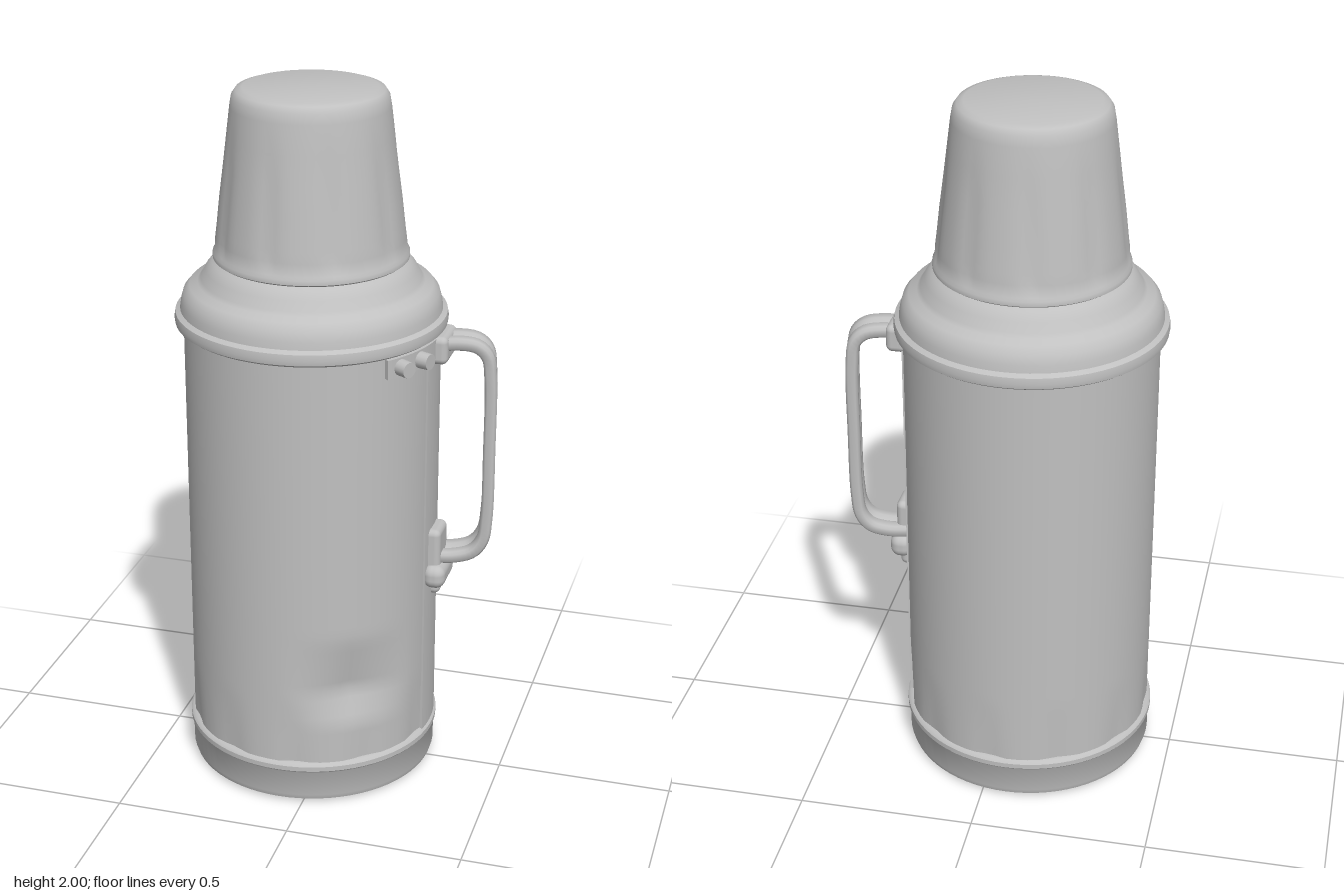
import * as THREE from 'three';
import { toCreasedNormals } from 'three/addons/utils/BufferGeometryUtils.js';
import { RoundedBoxGeometry } from 'three/addons/geometries/RoundedBoxGeometry.js';

const grey = new THREE.MeshStandardMaterial({ color: 0xc0c0c0 });
grey.name = 'plain grey';

function part(name, geometry, parent, x = 0, y = 0, z = 0) {
  const mesh = new THREE.Mesh(geometry, grey);
  mesh.name = name;
  mesh.position.set(x, y, z);
  parent.add(mesh);
  return mesh;
}

// Turned part; its seam lies on the handle side. An optional rule scales the radius.
function turned(profile, rule) {
  const g = new THREE.LatheGeometry(profile.map(([r, y]) => new THREE.Vector2(r, y)), 72, Math.PI / 2);
  if (rule) {
    const p = g.attributes.position;
    for (let i = 0; i < p.count; i++) {
      const x = p.getX(i), y = p.getY(i), z = p.getZ(i);
      const s = rule(Math.atan2(x, z), y);
      p.setXYZ(i, x * s, y, z * s);
    }
  }
  return toCreasedNormals(g, 0.7);
}

// Curved plate wrapped round the bottle; angles run from +x towards the back
function wrap(inner, outer, from, to, height) {
  const s = new THREE.Shape();
  s.absarc(0, 0, outer, from, to, false);
  s.absarc(0, 0, inner, to, from, true);
  const g = new THREE.ExtrudeGeometry(s, { depth: height, bevelEnabled: false, curveSegments: 16 });
  g.rotateX(-Math.PI / 2);
  return toCreasedNormals(g, 0.7);
}

export function createModel() {
  const model = new THREE.Group();
  model.name = 'vacuumFlask';
  const bottle = new THREE.Group();
  bottle.name = 'bottle';
  bottle.position.x = -0.07;
  model.add(bottle);

  // Base cup with a small lip
  part('base', turned([[0, 0.005], [0.335, 0.005], [0.352, 0.015], [0.357, 0.03], [0.358, 0.105],
    [0.364, 0.112], [0.364, 0.126], [0.357, 0.134], [0.345, 0.136]]), bottle);

  // Body with a dent at the lower front and slight ripples above the base
  const rows = [];
  for (let i = 0; i <= 48; i++) rows.push([0.353, 0.12 + i * 1.24 / 48]);
  part('body', turned(rows, (a, y) => {
    const across = Math.max(0, 1 - Math.abs(a - 0.62) / 0.5);
    const up = y > 0.35 ? Math.max(0, 1 - (y - 0.35) / 0.17) : Math.max(0, 1 - (0.35 - y) / 0.1);
    const ripple = Math.max(0, 1 - (y - 0.12) / 0.2) * Math.max(0, Math.sin(a * 11));
    return 1 - 0.1 * across * up - 0.02 * ripple;
  }), bottle);
  part('seamStrip', wrap(0.34, 0.358, -0.2, 0.21, 1.2), bottle, 0, 0.13, 0);

  // Stepped shoulder with a rolled rim
  part('shoulder', turned([[0.345, 1.345], [0.366, 1.345], [0.376, 1.352], [0.378, 1.365], [0.375, 1.382],
    [0.362, 1.39], [0.359, 1.41], [0.352, 1.435], [0.335, 1.455], [0.312, 1.465], [0.303, 1.475],
    [0.29, 1.5], [0.272, 1.522], [0.25, 1.535]]), bottle);

  // Drinking cup with shallow grooves
  part('drinkingCup', turned([[0.2, 1.53], [0.262, 1.53], [0.269, 1.535], [0.269, 1.548], [0.263, 1.556], [0.261, 1.59],
    [0.257, 1.62], [0.248, 1.7], [0.236, 1.79], [0.226, 1.87], [0.216, 1.95], [0.211, 1.978], [0.2, 1.994],
    [0.182, 2], [0, 2]], (a, y) => {
    const fade = THREE.MathUtils.smoothstep(y, 1.55, 1.6) * (1 - THREE.MathUtils.smoothstep(y, 1.75, 1.93));
    return 1 - 0.025 * fade * Math.pow(0.5 + 0.5 * Math.cos(9 * (a + Math.PI / 2)), 5);
  }), bottle);

  // Upper bracket with two bolts
  part('upperBracket', wrap(0.34, 0.368, -0.7, 0.22, 0.055), bottle, 0, 1.285, 0);
  for (const a of [0.37, 0.58]) {
    const g = new THREE.CylinderGeometry(0.022, 0.024, 0.05, 16);
    g.rotateZ(-Math.PI / 2).rotateY(-a);
    part('bracketBolt', g, bottle, 0.376 * Math.cos(a), 1.312, 0.376 * Math.sin(a));
  }
  part('upperMount', new RoundedBoxGeometry(0.06, 0.08, 0.13, 3, 0.018), bottle, 0.366, 1.305, -0.015);

  // Lower mount: block and round knob
  part('lowerMount', new RoundedBoxGeometry(0.05, 0.15, 0.1, 3, 0.018), bottle, 0.362, 0.69, 0);
  part('lowerKnob', new RoundedBoxGeometry(0.065, 0.07, 0.145, 4, 0.028), bottle, 0.372, 0.625, 0);
  part('lowerStud', new RoundedBoxGeometry(0.045, 0.07, 0.06, 3, 0.018), bottle, 0.358, 0.585, -0.01);

  // Bent handle with a groove along its outer face
  const path = new THREE.CatmullRomCurve3([[0.0, 1.315], [0.06, 1.32], [0.11, 1.312], [0.138, 1.285], [0.148, 1.22],
    [0.15, 1.0], [0.148, 0.8], [0.138, 0.73], [0.11, 0.693], [0.06, 0.677], [0.0, 0.675]]
    .map(([x, y]) => new THREE.Vector3(x, y, 0)), false, 'centripetal');
  const section = new THREE.Shape([[-0.05, -0.01], [-0.042, -0.017], [-0.015, -0.017], [0, -0.009], [0.015, -0.017],
    [0.042, -0.017], [0.05, -0.01], [0.05, 0.01], [0.042, 0.017], [0.015, 0.017], [0, 0.009], [-0.015, 0.017],
    [-0.042, 0.017], [-0.05, 0.01]].map(([x, y]) => new THREE.Vector2(x, y)));
  const bar = new THREE.ExtrudeGeometry(section, { steps: 64, extrudePath: path, bevelEnabled: false });
  const handle = part('handle', toCreasedNormals(bar, 0.9), model, 0.285, 0, -0.012);
  handle.rotation.y = 0.2;

  return model;
}
